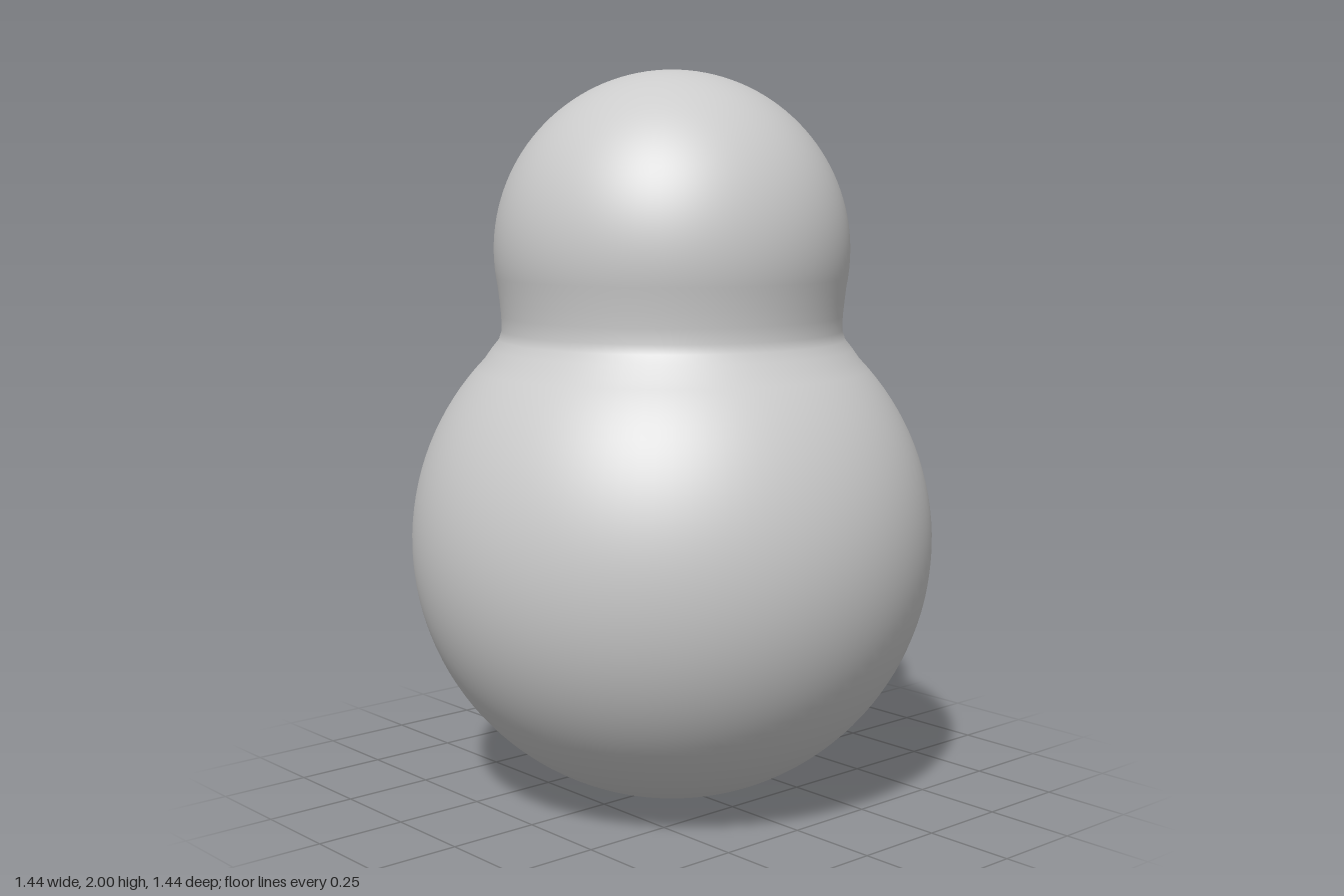
import * as THREE from 'three';

// Profile points on a circle centred on the y axis, between two angles from the downward pole
function arc(radius, centreY, from, to, steps) {
  return Array.from({ length: steps + 1 }, (_, i) => {
    const a = from + ((to - from) * i) / steps;
    return new THREE.Vector2(Math.max(0, radius * Math.sin(a)), centreY - radius * Math.cos(a));
  });
}

// Angle from the downward pole at which a circle reaches height y
const angleAt = (y, radius, centreY) => Math.acos((centreY - y) / radius);

export function createModel() {
  const group = new THREE.Group();
  const body = { r: 0.718, y: 0.72 };
  const head = { r: 0.485, y: 1.515 };

  // Short blended neck between the two spheres
  const neck = [[0.494, 1.25], [0.474, 1.275], [0.466, 1.3], [0.467, 1.34], [0.471, 1.38]]
    .map(([x, y]) => new THREE.Vector2(x, y));

  const profile = [
    ...arc(body.r, body.y, 0, angleAt(1.22, body.r, body.y), 48),
    ...neck,
    ...arc(head.r, head.y, angleAt(1.42, head.r, head.y), Math.PI, 36),
  ];

  // Body and head as one smooth skin
  const skin = new THREE.Mesh(
    new THREE.LatheGeometry(profile, 96),
    new THREE.MeshStandardMaterial({ color: 0xcccccc })
  );
  skin.name = 'bodyAndHead';
  group.add(skin);
  return group;
}
